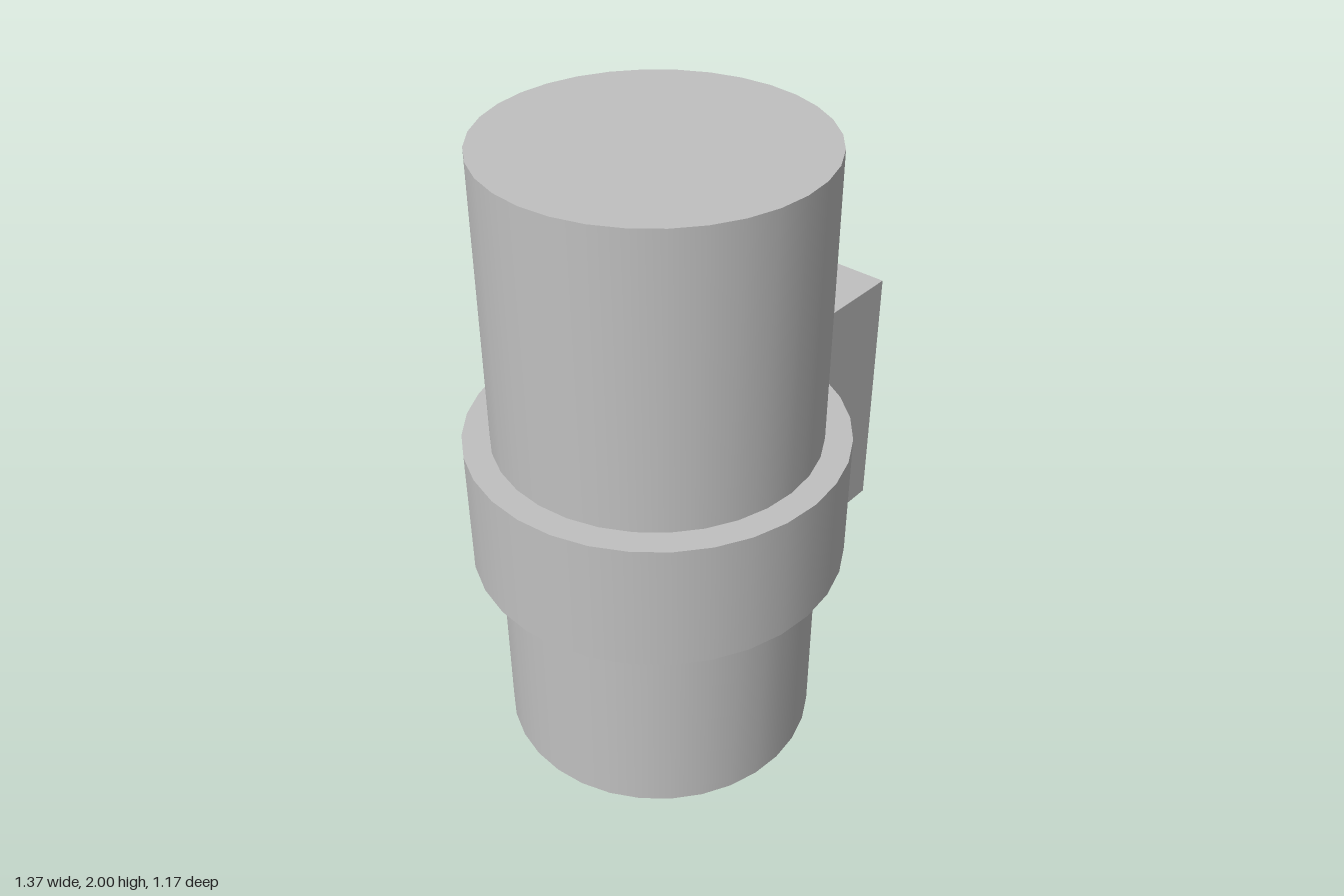
import * as THREE from 'three';

const SIDES = 32;
const AXIS_X = -0.104; // the post sits off centre, so that the whole is centred

export function createModel() {
  const model = new THREE.Group();
  model.name = 'postWithCollar';
  const grey = new THREE.MeshStandardMaterial({ color: 0xc0c0c0 });
  grey.name = 'plain grey';

  const add = (name, geometry, x, y) => {
    const mesh = new THREE.Mesh(geometry, grey);
    mesh.name = name;
    mesh.position.set(x, y, 0);
    model.add(mesh);
  };
  // Upright round part between two heights
  const round = (name, radius, bottom, top) =>
    add(name, new THREE.CylinderGeometry(radius, radius, top - bottom, SIDES), AXIS_X, (bottom + top) / 2);

  // Main post and the band around it
  round('post', 0.5, 0, 2);
  round('collar', 0.583, 0.667, 1.083);

  // Block on the side, sunk into the post
  const inner = 0.3, outer = 0.6875, bottom = 0.5, top = 1.333;
  add('sideBlock', new THREE.BoxGeometry(outer - inner, top - bottom, 0.5), (inner + outer) / 2, (bottom + top) / 2);

  return model;
}
